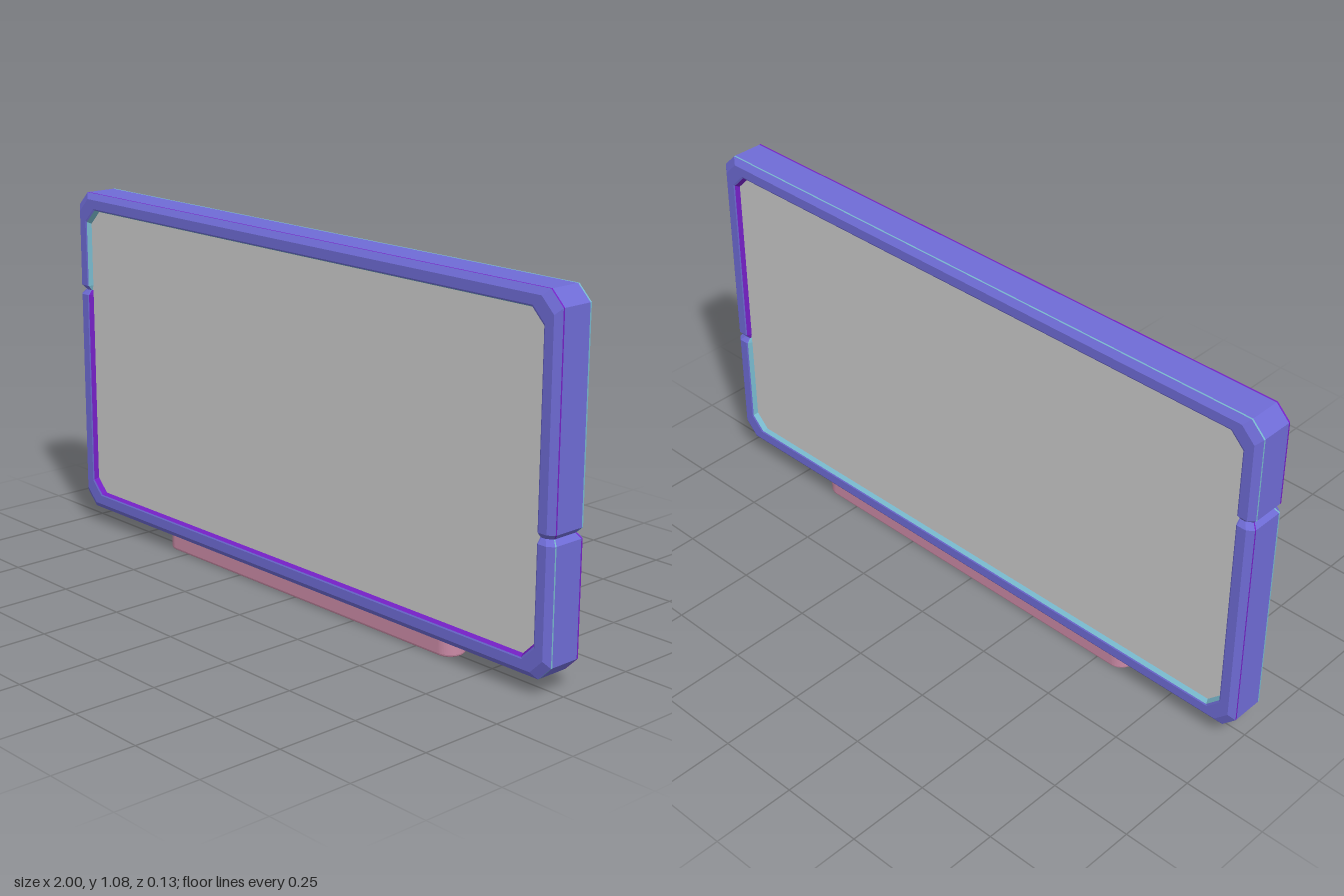
import * as THREE from 'three';

const paint = (name, color, extra = {}) =>
  Object.assign(new THREE.MeshStandardMaterial({ color, ...extra }), { name });

// Octagonal outline, inset by d, with a seam groove on each side (g = groove depth)
const BOTTOM = 0.05, TOP = 1.075, CUT = 0.042;
function outline(d, cut = CUT) {
  const x = 1 - d, b = BOTTOM + d, t = TOP - d;
  return [
    [x, b + cut], [x, 0.42], [x, 0.435, 1], [x, 0.45], [x, t - cut],
    [x - cut, t], [-x + cut, t], [-x, t - cut],
    [-x, 0.78], [-x, 0.765, 1], [-x, 0.75], [-x, b + cut],
    [-x + cut, b], [x - cut, b],
  ];
}

// Cross-section of the rim: [inset, z], from inner front round to inner back
const PROFILE = [
  [0.056, 0.049], [0.05, 0.064], [0.046, 0.066], [0.018, 0.066], [0, 0.052], [0, 0.047],
  [0, -0.047], [0, -0.052], [0.018, -0.066], [0.046, -0.066], [0.05, -0.064], [0.056, -0.049],
];

function frameGeometry() {
  const loops = PROFILE.map(([inset, z], k) => outline(inset).map(([x, y, groove]) => {
    if (!groove) return [x, y, z];
    const outer = k > 2 && k < 9;
    return [x - Math.sign(x) * (outer ? 0.013 : 0), y, z * 0.82];
  }));
  const faces = [[], [], []];
  const n = loops[0].length;
  for (let k = 0; k < loops.length - 1; k++) {
    for (let i = 0; i < n; i++) {
      const j = (i + 1) % n;
      const upper = i >= 2 && i < 9;
      // Accent lines: 1 = violet, 2 = teal, swapped between upper and lower halves
      let m = 0;
      if (k === 4 || k === 10) m = upper ? 1 : 2;
      if (k === 6 || k === 0) m = upper ? 2 : 1;
      const a = loops[k][i], b = loops[k + 1][i], c = loops[k + 1][j], d = loops[k][j];
      faces[m].push(...a, ...b, ...c, ...a, ...c, ...d);
    }
  }
  const geo = new THREE.BufferGeometry();
  geo.setAttribute('position', new THREE.Float32BufferAttribute(faces.flat(), 3));
  let start = 0;
  faces.forEach((f, m) => {
    geo.addGroup(start, f.length / 3, m);
    start += f.length / 3;
  });
  geo.computeVertexNormals();
  return geo;
}

// Stadium path lying in the shape plane
function stadium(target, halfLength, r) {
  const s = halfLength - r;
  target.moveTo(-s, -r);
  target.lineTo(s, -r);
  target.absarc(s, 0, r, -Math.PI / 2, Math.PI / 2, false);
  target.lineTo(-s, r);
  target.absarc(-s, 0, r, Math.PI / 2, Math.PI * 1.5, false);
  return target;
}

export function createModel() {
  const model = new THREE.Group();
  model.name = 'doubleSidedBoard';
  const blue = paint('frame blue', 0x6f6cd6, { flatShading: true });
  const violet = paint('accent violet', 0x7420c4, { flatShading: true });
  const teal = paint('accent teal', 0x78b8cc, { flatShading: true });
  const grey = paint('panel grey', 0xcccccc);
  const pink = paint('foot pink', 0xcb8aa6);

  const add = (name, geo, mat, parent = model) => {
    const mesh = new THREE.Mesh(geo, mat);
    mesh.name = name;
    parent.add(mesh);
    return mesh;
  };

  // Bevelled rim with seam grooves
  add('frame', frameGeometry(), [blue, violet, teal]);

  // Flat panel seen from both faces
  const panelShape = new THREE.Shape(
    outline(0.054).filter((p) => !p[2]).map(([x, y]) => new THREE.Vector2(x, y)));
  const panel = new THREE.ExtrudeGeometry(panelShape, { depth: 0.1, bevelEnabled: false });
  panel.translate(0, 0, -0.05);
  add('panel', panel, grey);

  // Hollow rounded foot: a rim around a recessed slot
  const foot = new THREE.Group();
  foot.name = 'foot';
  foot.position.x = 0.018;
  model.add(foot);
  const bevel = 0.008;
  const rimShape = stadium(new THREE.Shape(), 0.617 - bevel, 0.045 - bevel);
  rimShape.holes.push(stadium(new THREE.Path(), 0.592 + bevel, 0.02 + bevel));
  const rim = new THREE.ExtrudeGeometry(rimShape, {
    depth: 0.046, bevelEnabled: true, bevelThickness: bevel, bevelSize: bevel,
    bevelSegments: 3, curveSegments: 14,
  });
  rim.rotateX(-Math.PI / 2).translate(0, bevel, 0);
  add('footRim', rim, pink, foot);
  const slot = new THREE.ExtrudeGeometry(stadium(new THREE.Shape(), 0.6, 0.028),
    { depth: 0.025, bevelEnabled: false, curveSegments: 14 });
  slot.rotateX(-Math.PI / 2).translate(0, 0.03, 0);
  add('footSlotCeiling', slot, pink, foot);

  return model;
}
